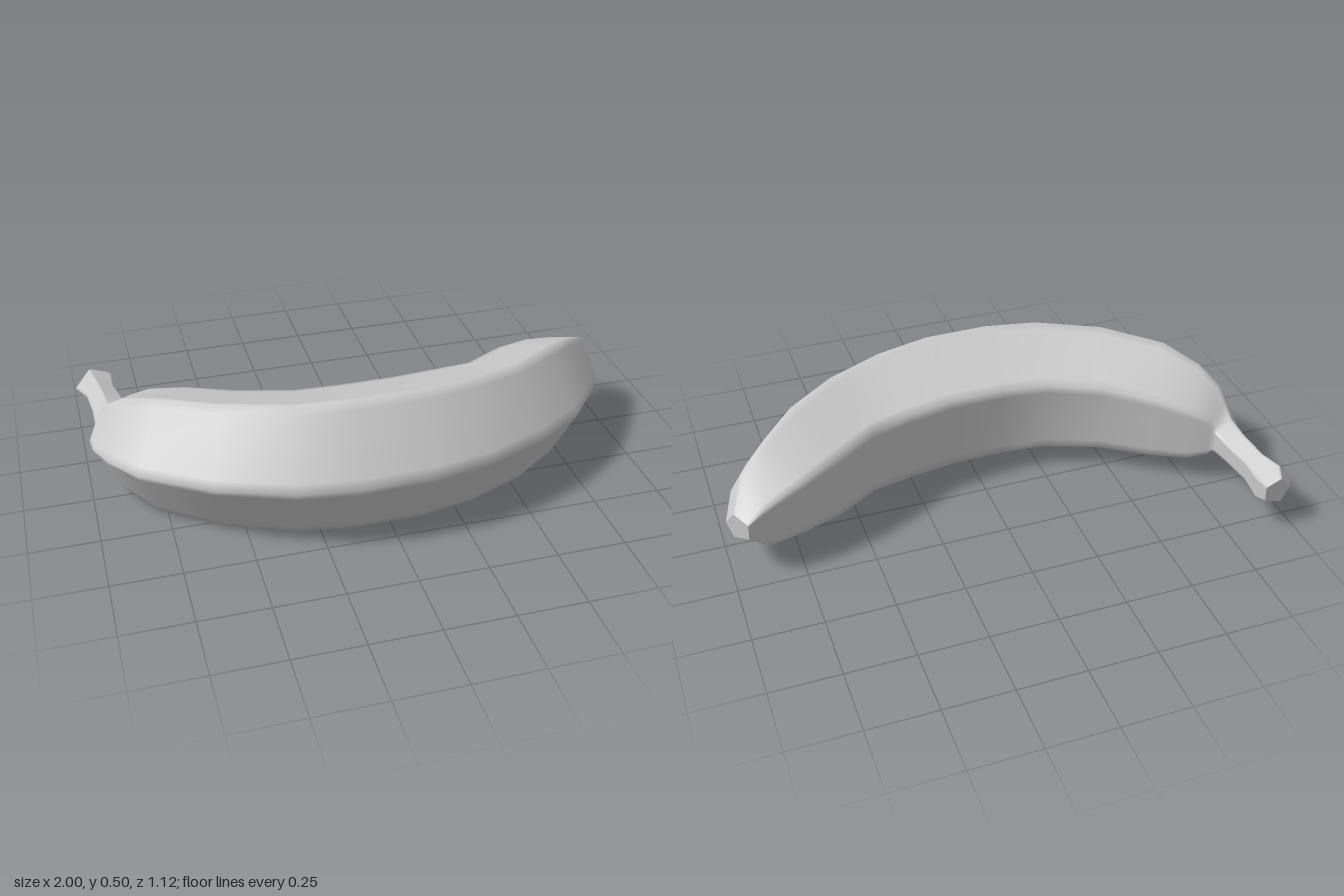
import * as THREE from 'three';

// Stations from blossom tip to stem end:
// outer x, outer z, inner x, inner z, top y, bottom y
const STATIONS = [
  [0.995, -0.13, 0.93, -0.21, 0.27, 0.165],
  [0.95, 0.03, 0.86, -0.2, 0.36, 0.075],
  [0.87, 0.15, 0.72, -0.15, 0.415, 0.045],
  [0.76, 0.28, 0.58, -0.08, 0.455, 0.012],
  [0.58, 0.4, 0.42, 0.02, 0.473, 0.006],
  [0.34, 0.505, 0.27, 0.05, 0.49, 0.003],
  [0.12, 0.55, 0.1, 0.075, 0.5, 0.003],
  [-0.14, 0.555, -0.1, 0.075, 0.5, 0.006],
  [-0.36, 0.52, -0.26, 0.06, 0.494, 0.008],
  [-0.62, 0.41, -0.46, -0.015, 0.48, 0.008],
  [-0.85, 0.24, -0.62, -0.12, 0.452, 0.012],
  [-0.94, 0.1, -0.74, -0.2, 0.4, 0.04],
  [-0.98, 0, -0.81, -0.235, 0.34, 0.085],
  [-0.985, -0.08, -0.82, -0.24, 0.295, 0.115],
  [-0.955, -0.2, -0.83, -0.25, 0.27, 0.125],
  [-0.955, -0.3, -0.84, -0.32, 0.256, 0.13],
  [-0.965, -0.43, -0.86, -0.43, 0.245, 0.12],
  [-1, -0.515, -0.855, -0.52, 0.25, 0.1],
  [-0.97, -0.56, -0.87, -0.565, 0.225, 0.12],
];

// Slightly tilted five-sided section: [outer 0 .. inner 1, bottom -1 .. top 1]
const CORNERS = [[0, 0.04], [0.4, 1], [1, 0.55], [0.97, -0.65], [0.29, -1]];

// Extra points beside each corner keep the faces flat and the ridges soft
const SECTION = CORNERS.flatMap((a, i) => {
  const b = CORNERS[(i + 1) % CORNERS.length];
  return [0, 0.12, 0.88].map((t) => [a[0] + (b[0] - a[0]) * t, a[1] + (b[1] - a[1]) * t]);
});
const N = SECTION.length;

function ring([ox, oz, ix, iz, top, bottom]) {
  const mid = (top + bottom) / 2, half = (top - bottom) / 2;
  return SECTION.map(([u, v]) => [ox + (ix - ox) * u, mid + half * v, oz + (iz - oz) * u]);
}

function buildGeometry(points, index) {
  const geometry = new THREE.BufferGeometry();
  geometry.setAttribute('position', new THREE.Float32BufferAttribute(points.flat(), 3));
  geometry.setIndex(index);
  geometry.computeVertexNormals();
  return geometry;
}

// Skin lofted through all the rings
function loft(rings) {
  const index = [];
  for (let s = 0; s < rings.length - 1; s++) {
    for (let j = 0; j < N; j++) {
      const k = (j + 1) % N;
      const a = s * N + j, b = s * N + k;
      index.push(a, b, a + N, b, b + N, a + N);
    }
  }
  return buildGeometry(rings.flat(), index);
}

// Flat fan closing one end
function cap(points, flip) {
  const center = [0, 1, 2].map((c) => points.reduce((sum, p) => sum + p[c], 0) / N);
  const index = [];
  for (let j = 0; j < N; j++) {
    const k = (j + 1) % N;
    index.push(N, flip ? k : j, flip ? j : k);
  }
  return buildGeometry([...points, center], index);
}

export function createModel() {
  const group = new THREE.Group();
  group.name = 'banana';
  const material = new THREE.MeshStandardMaterial({ color: 0xcccccc });
  const add = (name, geometry) => {
    const mesh = new THREE.Mesh(geometry, material);
    mesh.name = name;
    group.add(mesh);
  };

  const rings = STATIONS.map(ring);
  add('peelAndStem', loft(rings));
  add('blossomTip', cap(rings[0], true));
  add('stemEnd', cap(rings[rings.length - 1], false));
  return group;
}
